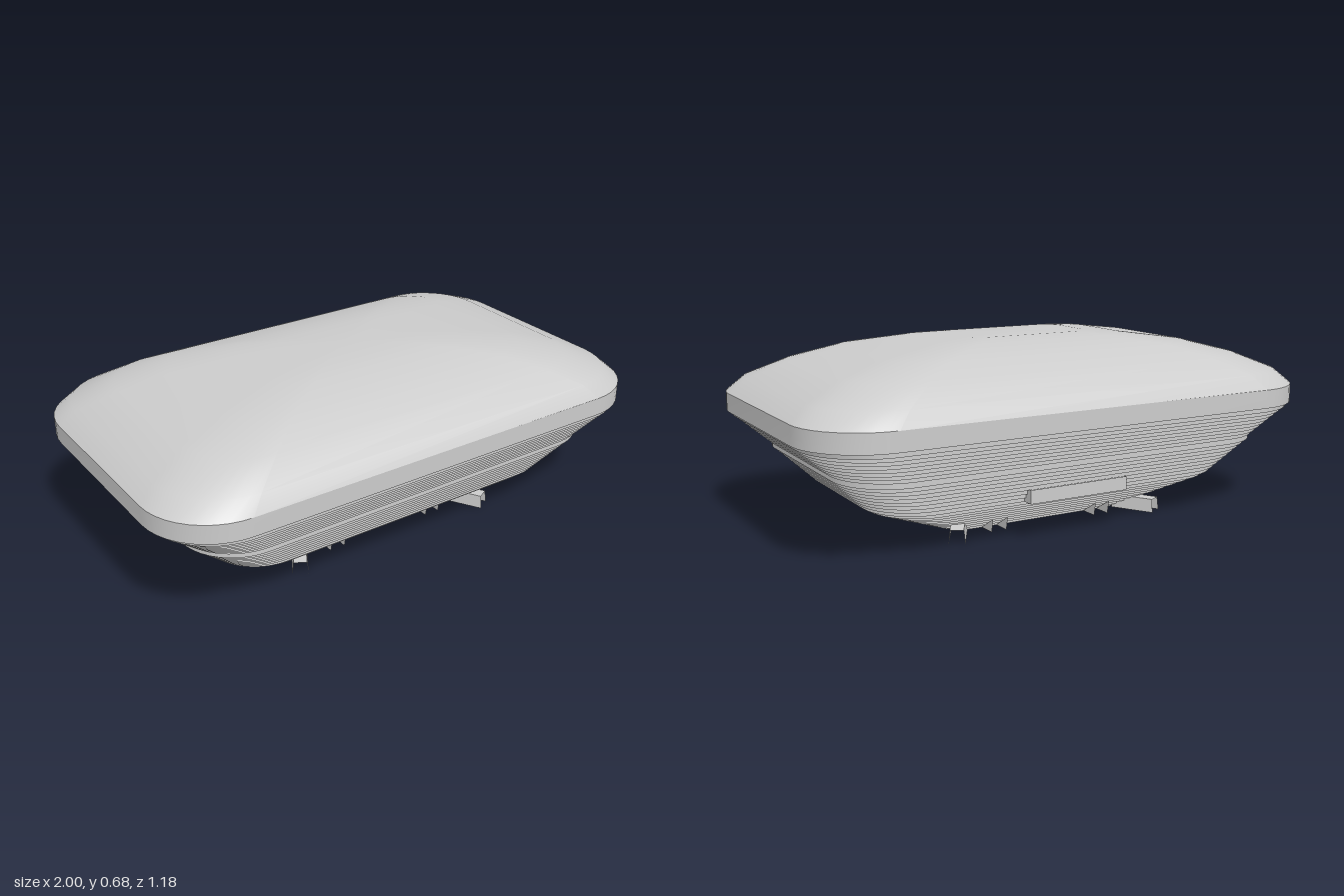
import * as THREE from 'three';
import { toCreasedNormals } from 'three/addons/utils/BufferGeometryUtils.js';

const grey = new THREE.MeshStandardMaterial({ color: 0xcccccc });
const thin = new THREE.MeshStandardMaterial({ color: 0xcccccc, side: THREE.DoubleSide });
const CORNER = 10; // segments per rounded corner

// Rounded rectangle cross-section at height y
function ring([y, hx, hz, r]) {
  const points = [];
  const signs = [[1, 1], [-1, 1], [-1, -1], [1, -1]];
  signs.forEach(([sx, sz], q) => {
    for (let i = 0; i <= CORNER; i++) {
      const a = (q + i / CORNER) * Math.PI / 2;
      points.push(sx * (hx - r) + r * Math.cos(a), y, sz * (hz - r) + r * Math.sin(a));
    }
  });
  return points;
}

// Skin a stack of cross-sections from bottom to top, with optional end caps
function loft(sections, capBottom, capTop, crease) {
  const n = 4 * (CORNER + 1);
  const position = sections.flatMap(ring);
  const index = [];
  for (let i = 0; i < sections.length - 1; i++) {
    for (let j = 0; j < n; j++) {
      const a = i * n + j, b = i * n + (j + 1) % n;
      index.push(a, a + n, b, b, a + n, b + n);
    }
  }
  const cap = (row, up) => {
    const c = position.length / 3;
    position.push(0, sections[row][0], 0);
    for (let j = 0; j < n; j++) {
      const a = row * n + j, b = row * n + (j + 1) % n;
      index.push(...(up ? [a, c, b] : [a, b, c]));
    }
  };
  if (capBottom) cap(0, false);
  if (capTop) cap(sections.length - 1, true);
  const geometry = new THREE.BufferGeometry();
  geometry.setAttribute('position', new THREE.Float32BufferAttribute(position, 3));
  geometry.setIndex(index);
  geometry.computeVertexNormals();
  return toCreasedNormals(geometry, crease);
}

function add(parent, name, geometry, material = grey) {
  const mesh = new THREE.Mesh(geometry, material);
  mesh.name = name;
  parent.add(mesh);
  return mesh;
}

// Fine stair steps between two cross-sections
function steps(from, to, count) {
  const out = [];
  const mix = (t) => from.map((v, k) => THREE.MathUtils.lerp(v, to[k], t));
  for (let i = 0; i < count; i++) {
    const low = mix(i / count), high = mix((i + 1) / count);
    const mid = mix((i + 0.5) / count);
    out.push([low[0], ...mid.slice(1)], [high[0], ...mid.slice(1)]);
  }
  return out;
}

// Thin flat triangle or quad
function plate(corners) {
  const geometry = new THREE.BufferGeometry();
  geometry.setAttribute('position', new THREE.Float32BufferAttribute(corners.flat(), 3));
  geometry.setIndex(corners.length === 4 ? [0, 1, 2, 0, 2, 3] : [0, 1, 2]);
  const flat = geometry.toNonIndexed();
  flat.computeVertexNormals();
  return flat;
}

export function createModel() {
  const model = new THREE.Group();
  model.name = 'roundedHousing';

  // Ribbed underside in three stepped zones: [y, half width, half depth, corner radius]
  add(model, 'ribbedHull', loft([
    ...steps([0, 0.37, 0.19, 0.1], [0.14, 0.71, 0.415, 0.19], 9),
    ...steps([0.14, 0.71, 0.415, 0.19], [0.265, 0.84, 0.495, 0.21], 8),
    [0.265, 0.85, 0.5, 0.21], [0.285, 0.85, 0.5, 0.21],
    ...steps([0.285, 0.85, 0.5, 0.21], [0.39, 0.97, 0.575, 0.25], 7),
    [0.39, 0.98, 0.58, 0.25], [0.405, 0.985, 0.58, 0.25],
  ], true, false, 0.6));

  // Upright band around the widest part
  add(model, 'rim', loft([
    [0.405, 0.985, 0.58, 0.25], [0.407, 1, 0.59, 0.26], [0.476, 1, 0.59, 0.26],
  ], false, false, 0.6));

  // Softly domed lid
  add(model, 'lid', loft([
    [0.476, 1, 0.59, 0.26], [0.53, 0.94, 0.555, 0.25], [0.59, 0.8, 0.465, 0.22],
    [0.638, 0.62, 0.36, 0.17], [0.67, 0.39, 0.225, 0.11], [0.681, 0.25, 0.14, 0.07],
  ], false, true, 0.7));

  for (const sx of [1, -1]) {
    for (const sz of [1, -1]) {
      // Diagonal channel foot under each corner
      const foot = new THREE.Group();
      foot.name = 'foot';
      foot.position.set(sx * 0.425, 0, sz * 0.343);
      foot.rotation.y = Math.atan2(sx * 0.5, sz * 0.86);
      model.add(foot);
      const wall = (s) => [[s * 0.029, 0, 0], [s * 0.024, 0.05, -0.004],
        [s * 0.024, 0.05, -0.17], [s * 0.029, 0, -0.17]];
      const a = wall(1), b = wall(-1);
      add(foot, 'footSide', plate(a), thin);
      add(foot, 'footSide', plate(b), thin);
      add(foot, 'footTop', plate([a[1], b[1], b[2], a[2]]), thin);

      // Pair of triangular gussets along the long edges
      for (const x of [0.19, 0.25]) {
        add(model, 'gusset', plate([
          [sx * x, 0, sz * 0.2], [sx * x, 0.05, sz * 0.285], [sx * x, 0, sz * 0.275],
        ]), thin);
      }
    }
    // End tabs of the rear bracket
    add(model, 'bracketTab', plate([
      [sx * 0.2, 0.14, -0.4], [sx * 0.2, 0.14, -0.463],
      [sx * 0.2, 0.19, -0.463], [sx * 0.2, 0.19, -0.43],
    ]), thin);
  }

  // Rear bracket plate
  add(model, 'bracketPlate', plate([
    [0.2, 0.14, -0.463], [-0.2, 0.14, -0.463], [-0.2, 0.19, -0.463], [0.2, 0.19, -0.463],
  ]), thin);

  return model;
}
